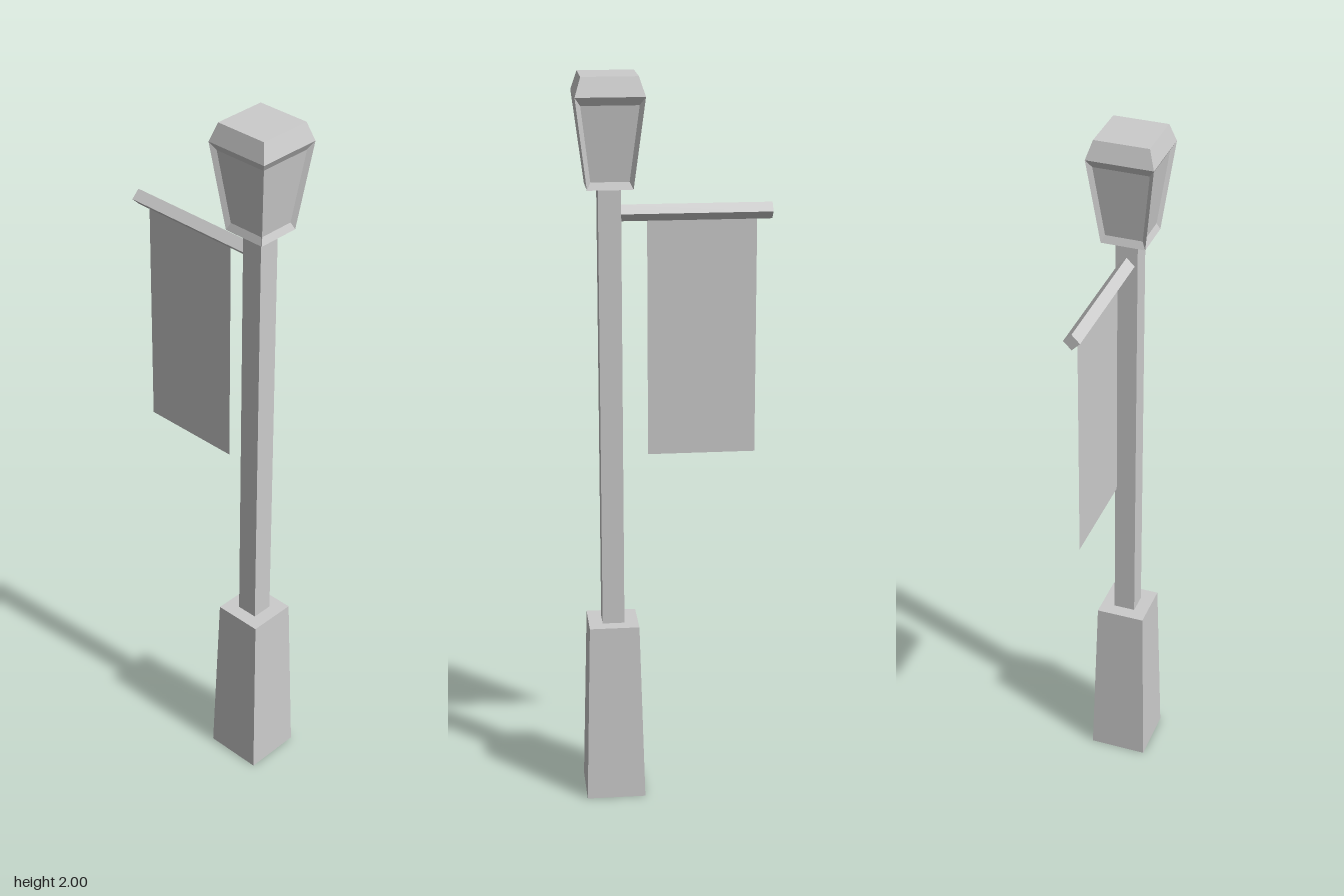
import * as THREE from 'three';

const POLE_Z = 0.17;

export function createModel() {
  const group = new THREE.Group();
  const grey = new THREE.MeshStandardMaterial({ color: 0xcccccc, flatShading: true });
  const cloth = new THREE.MeshStandardMaterial({ color: 0xcccccc, side: THREE.DoubleSide });

  const add = (name, geometry, x, y, z, material = grey, parent = group) => {
    const mesh = new THREE.Mesh(geometry, material);
    mesh.name = name;
    mesh.position.set(x, y, z);
    parent.add(mesh);
    return mesh;
  };

  // Square tapered block, given half widths at the top and bottom
  const taper = (top, bottom, height, open = false) =>
    new THREE.CylinderGeometry(top * Math.SQRT2, bottom * Math.SQRT2, height, 4, 1, open)
      .rotateY(Math.PI / 4);

  // Post
  add('base', taper(0.068, 0.081, 0.505), 0, 0.2525, POLE_Z);
  add('pole', taper(0.03, 0.03, 1.215), 0, 1.1075, POLE_Z);

  // Lantern: four sloping sides, each with a bevelled, recessed pane
  const lantern = new THREE.Group();
  lantern.name = 'lantern';
  lantern.position.z = POLE_Z;
  group.add(lantern);

  const [y0, y1, w0, w1] = [1.71, 1.95, 0.06, 0.09];
  const halfAt = (y) => w0 + (w1 - w0) * (y - y0) / (y1 - y0);
  const ring = (bottom, top, inset, depth) => [[-1, bottom], [1, bottom], [1, top], [-1, top]]
    .map(([s, y]) => [s * (halfAt(y) - inset), y, halfAt(y) - depth]);
  const outer = ring(y0, y1, 0, 0);
  const inner = ring(y0 + 0.02, y1 - 0.022, 0.012, 0.01);
  const corners = [];
  const quad = (a, b, c, d) => corners.push(...a, ...b, ...c, ...a, ...c, ...d);
  for (let i = 0; i < 4; i++) {
    const j = (i + 1) % 4;
    quad(outer[i], outer[j], inner[j], inner[i]);
  }
  quad(...inner);
  const side = new THREE.BufferGeometry();
  side.setAttribute('position', new THREE.Float32BufferAttribute(corners, 3));
  side.computeVertexNormals();
  for (let i = 0; i < 4; i++) {
    add('lanternSide', side, 0, 0, 0, grey, lantern).rotation.y = i * Math.PI / 2;
  }
  add('lanternFloor', new THREE.PlaneGeometry(2 * w0, 2 * w0).rotateX(Math.PI / 2),
    0, y0, 0, grey, lantern);
  add('lanternCap', taper(0.074, w1, 0.05), 0, 1.975, 0, grey, lantern);

  // Banner arm: a square bar standing on its edge
  const arm = new THREE.CylinderGeometry(0.022, 0.022, 0.405, 4).rotateX(Math.PI / 2);
  add('bannerArm', arm, 0, 1.64, -0.0575);

  // Hanging banner
  add('banner', new THREE.PlaneGeometry(0.29, 0.645).rotateY(Math.PI / 2),
    0, 1.3025, -0.075, cloth);

  return group;
}
